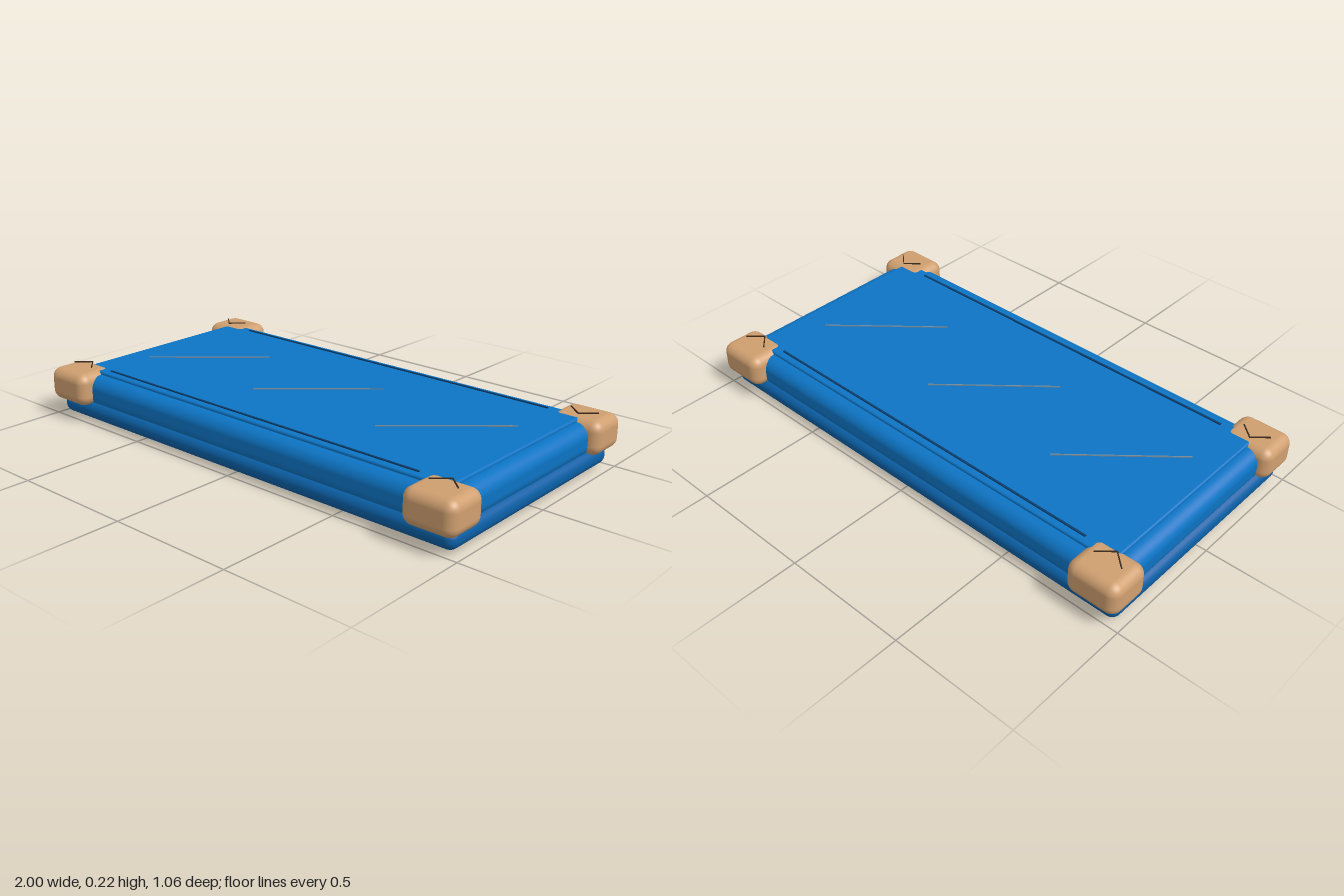
import * as THREE from 'three';
import { RoundedBoxGeometry } from 'three/addons/geometries/RoundedBoxGeometry.js';

const mat = (name, color) => {
  const m = new THREE.MeshStandardMaterial({ color });
  m.name = name;
  return m;
};

export function createModel() {
  const group = new THREE.Group();
  const blue = mat('blue', 0x0d74c4);
  const deepBlue = mat('deep blue', 0x0b5fa5);
  const navy = mat('navy', 0x0a3d6b);
  const tan = mat('tan', 0xcf9f70);
  const brown = mat('dark brown', 0x3a2a1c);
  const grey = mat('seam grey', 0x6f8a9c);

  const add = (name, geometry, material, x, y, z) => {
    const mesh = new THREE.Mesh(geometry, material);
    mesh.name = name;
    mesh.position.set(x, y, z);
    group.add(mesh);
    return mesh;
  };
  // Rounded slab between two heights
  const slab = (name, w, d, y0, y1, r, material, x = 0, z = 0) =>
    add(name, new RoundedBoxGeometry(w, y1 - y0, d, 5, r), material, x, (y0 + y1) / 2, z);
  // Thin straight stitch from (x0, z0) to (x1, z1)
  const stitch = (name, x0, z0, x1, z1, y, t, material) => {
    const length = Math.hypot(x1 - x0, z1 - z0);
    const mesh = add(name, new THREE.BoxGeometry(length, 0.004, t), material,
      (x0 + x1) / 2, y, (z0 + z1) / 2);
    mesh.rotation.y = -Math.atan2(z1 - z0, x1 - x0);
  };

  // Stacked body, from the floor up
  slab('bottomPlate', 1.88, 0.91, 0, 0.03, 0.014, deepBlue);
  slab('lowerSlab', 1.95, 0.98, 0.01, 0.085, 0.035, deepBlue);
  slab('upperSlab', 1.92, 0.955, 0.06, 0.188, 0.05, blue);
  slab('topPanel', 1.81, 0.845, 0.17, 0.2, 0.008, blue);

  // Long piping near the front and back edges
  for (const s of [-1, 1]) {
    stitch('edgePiping', -0.77, s * 0.393, 0.77, s * 0.393, 0.202, 0.008, navy);
  }

  // Diagonal seams across the top
  for (const x of [-0.61, 0, 0.6]) {
    stitch('diagonalSeam', x - 0.19, 0.17, x + 0.19, -0.16, 0.202, 0.005, grey);
  }

  // Corner guards with a small chevron above each
  for (const sx of [-1, 1]) {
    for (const sz of [-1, 1]) {
      slab('cornerGuard', 0.21, 0.175, 0.07, 0.203, 0.04, tan, sx * 0.895, sz * 0.4415);
      for (const side of [-1, 1]) {
        stitch('cornerChevron', sx * 0.895, sz * 0.388, sx * 0.895 + side * 0.056, sz * 0.438,
          0.213, 0.004, brown);
      }
    }
  }
  return group;
}
